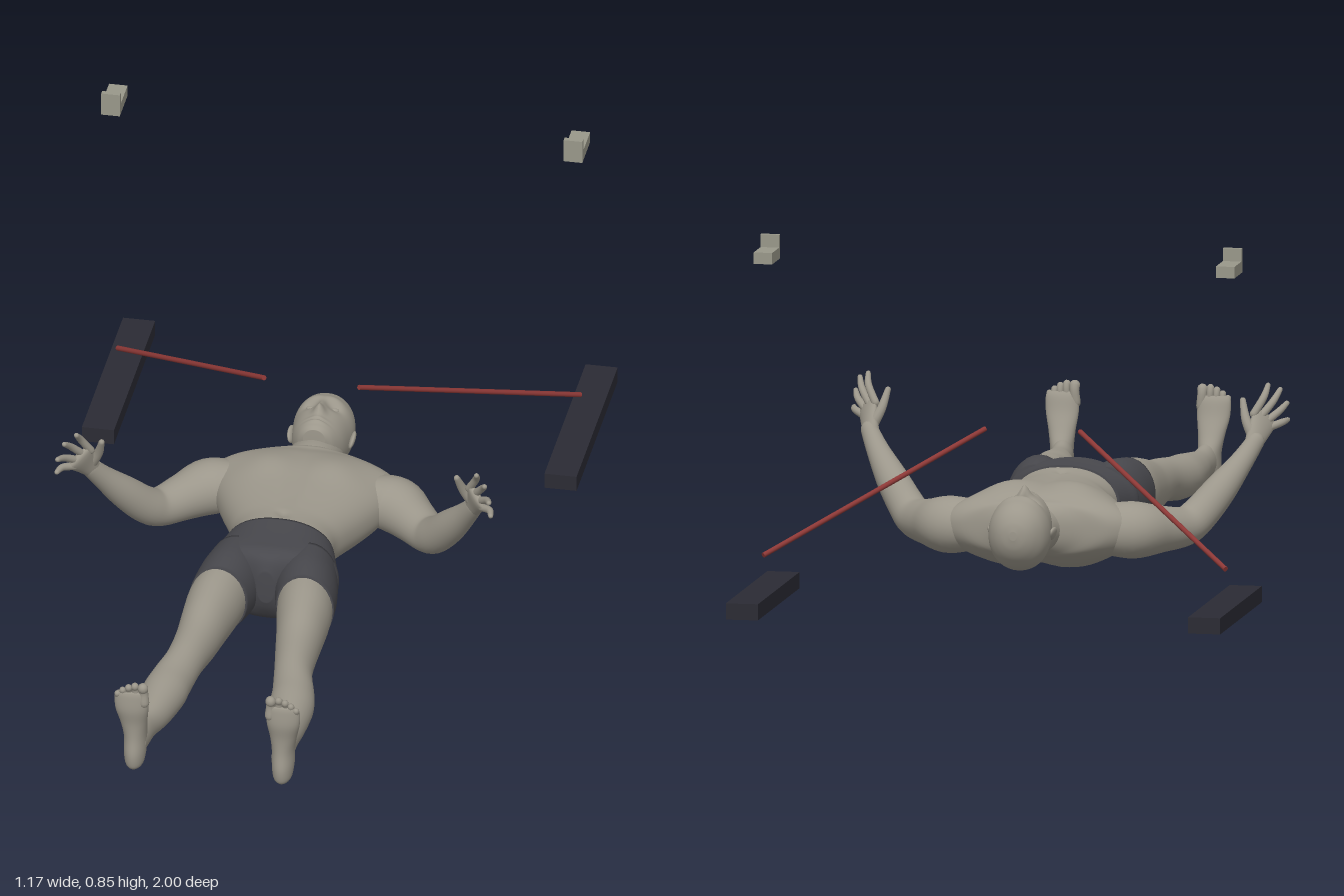
import * as THREE from 'three';

const mat = (name, color, side = THREE.FrontSide) => {
  const m = new THREE.MeshStandardMaterial({ color, side });
  m.name = name;
  return m;
};
const V = (a) => new THREE.Vector3(a[0], a[1], a[2]);
const X = V([1, 0, 0]), Z = V([0, 0, 1]), DOWN = V([0, -1, 0]);
const gauss = (d, s) => Math.exp(-(d * d) / (2 * s * s));

// Smooth in-between rows through a list of number rows
function sample(rows, steps) {
  const out = [];
  for (let i = 0; i < rows.length - 1; i++) {
    const p0 = rows[Math.max(0, i - 1)], p1 = rows[i], p2 = rows[i + 1], p3 = rows[Math.min(rows.length - 1, i + 2)];
    for (let k = 0; k < steps; k++) {
      const t = k / steps;
      out.push(p1.map((b, j) => {
        const a = p0[j], c = p2[j], d = p3[j];
        return 0.5 * (2 * b + (c - a) * t + (2 * a - 5 * b + 4 * c - d) * t * t + (3 * b - a - 3 * c + d) * t * t * t);
      }));
    }
  }
  out.push(rows[rows.length - 1]);
  return out;
}

// Skin over oval rings; rows are [x, y, z, halfWidth, halfDepth].
// With a fixed dir all rings are parallel, otherwise they follow the path and get round ends.
function loft(rows, { side = X, dir = null, seg = 28, steps = 5, power = 1, bump = null } = {}) {
  const s = sample(rows, steps), rings = [];
  const tangent = (i) => dir || V(s[Math.min(i + 1, s.length - 1)]).sub(V(s[Math.max(i - 1, 0)])).normalize();
  const ring = (i, scale = 1, shift = 0) => {
    const t = tangent(i), r = s[i];
    const n = t.clone().cross(side).normalize(), w = n.clone().cross(t);
    const c = V(r).addScaledVector(t, shift);
    rings.push(Array.from({ length: seg }, (_, k) => {
      const a = k / seg * Math.PI * 2, f = (v) => Math.sign(v) * Math.abs(v) ** power;
      const p = c.clone().addScaledVector(w, f(Math.cos(a)) * r[3] * scale).addScaledVector(n, f(Math.sin(a)) * r[4] * scale);
      if (bump) p.y += bump(p.x, p.z, Math.sin(a));
      return p;
    }));
  };
  const cap = [80, 55, 28].map((d) => d * Math.PI / 180), last = s.length - 1;
  if (!dir) cap.forEach((a) => ring(0, Math.cos(a), -Math.sin(a) * s[0][4]));
  s.forEach((_, i) => ring(i));
  if (!dir) cap.reverse().forEach((a) => ring(last, Math.cos(a), Math.sin(a) * s[last][4]));

  const pos = rings.flat(), idx = [], end = (rings.length - 1) * seg;
  const centre = (r) => r.reduce((a, p) => a.add(p), new THREE.Vector3()).divideScalar(seg);
  pos.push(centre(rings[0]), centre(rings[rings.length - 1]));
  for (let k = 0; k < seg; k++) {
    const k2 = (k + 1) % seg;
    for (let i = 0; i < end; i += seg) idx.push(i + k, i + k2, i + seg + k, i + k2, i + seg + k2, i + seg + k);
    idx.push(pos.length - 2, k2, k, pos.length - 1, end + k, end + k2);
  }
  const g = new THREE.BufferGeometry().setFromPoints(pos);
  g.setIndex(idx);
  g.computeVertexNormals();
  return g;
}
// Rows [z, centreX, halfWidth, top, bottom] for parts running along the body
const along = (rows, opts = {}) =>
  loft(rows.map(([z, x, w, hi, lo]) => [x, (hi + lo) / 2, z, w, (hi - lo) / 2]), { dir: Z, ...opts });

export function createModel() {
  const skin = mat('skin', 0x9c978b), cloth = mat('shorts cloth', 0x48484d);
  const dark = mat('dark beam', 0x2b2b34), metal = mat('bracket grey', 0x99988a), red = mat('red rod', 0x8c3836);
  const root = new THREE.Group();
  root.name = 'lyingFigure';
  const add = (parent, name, geo, m) => {
    const mesh = new THREE.Mesh(geo, m);
    mesh.name = name;
    parent.add(mesh);
    return mesh;
  };

  // Torso with chest muscles, midline and spine furrow
  const torsoBump = (x, z, s) => {
    const ax = Math.abs(x);
    if (s > 0) return s * (0.014 * gauss(ax - 0.085, 0.045) * gauss(z + 0.165, 0.042)
      - 0.006 * gauss(x, 0.012) * gauss(z + 0.08, 0.09) - 0.008 * gauss(x, 0.008) * gauss(z - 0.06, 0.008));
    return -s * (0.012 * gauss(x, 0.018) * gauss(z + 0.08, 0.13) - 0.006 * gauss(ax - 0.1, 0.04) * gauss(z + 0.16, 0.05));
  };
  add(root, 'torso', along([
    [-0.3, 0, 0.06, 0.175, 0.075], [-0.28, 0, 0.11, 0.185, 0.06], [-0.262, 0, 0.18, 0.188, 0.05], [-0.22, 0, 0.225, 0.2, 0.03],
    [-0.15, 0, 0.205, 0.207, 0.014], [-0.08, 0, 0.175, 0.208, 0.015], [0, 0, 0.138, 0.205, 0.026],
    [0.05, 0, 0.121, 0.205, 0.033], [0.11, 0, 0.127, 0.21, 0.03]], { seg: 72, power: 0.9, bump: torsoBump }), skin);
  add(root, 'neck', along([[-0.23, 0, 0.1, 0.18, 0.06], [-0.27, 0, 0.078, 0.182, 0.062], [-0.31, 0, 0.064, 0.18, 0.064],
    [-0.37, 0, 0.06, 0.17, 0.065]].reverse()), skin);

  // Head with nose, brow, eye sockets, lips and chin
  const faceBump = (x, z, s) => {
    if (s <= 0) return 0;
    const ax = Math.abs(x);
    return s * (0.02 * gauss(x, 0.009) * gauss(z + 0.378, 0.011) + 0.011 * gauss(x, 0.007) * gauss(z + 0.405, 0.018)
      - 0.012 * gauss(ax - 0.028, 0.013) * gauss(z + 0.42, 0.01) + 0.005 * gauss(ax - 0.026, 0.02) * gauss(z + 0.445, 0.008)
      + 0.006 * gauss(x, 0.016) * gauss(z + 0.353, 0.004) + 0.006 * gauss(x, 0.016) * gauss(z + 0.342, 0.004)
      - 0.004 * gauss(x, 0.02) * gauss(z + 0.3475, 0.002));
  };
  add(root, 'head', along([
    [-0.521, 0, 0.008, 0.15, 0.13], [-0.515, 0, 0.03, 0.172, 0.105], [-0.5, 0, 0.05, 0.195, 0.08], [-0.475, 0, 0.066, 0.212, 0.058],
    [-0.44, 0, 0.072, 0.22, 0.048], [-0.4, 0, 0.068, 0.218, 0.052], [-0.36, 0, 0.06, 0.216, 0.075],
    [-0.33, 0, 0.044, 0.214, 0.11], [-0.316, 0, 0.026, 0.206, 0.15]], { seg: 72, steps: 8, power: 0.95, bump: faceBump }), skin);

  // Pelvis of the shorts
  add(root, 'shortsPelvis', along([
    [0.098, 0, 0.129, 0.213, 0.028], [0.15, 0, 0.145, 0.212, 0.02], [0.2, 0, 0.157, 0.212, 0.014],
    [0.235, 0, 0.12, 0.212, 0.025], [0.262, 0, 0.05, 0.2, 0.06], [0.275, 0, 0.02, 0.17, 0.09]], { seg: 48, power: 0.9 }), cloth);

  for (const m of [1, -1]) {
    const half = new THREE.Group();
    half.name = m > 0 ? 'leftSide' : 'rightSide';
    half.scale.x = m;
    root.add(half);

    const ear = add(half, 'ear', new THREE.SphereGeometry(1, 16, 12), skin);
    ear.scale.set(0.007, 0.016, 0.027);
    ear.position.set(0.072, 0.132, -0.41);
    ear.rotation.set(0.2, 0, -0.35);
    const eye = add(half, 'eye', new THREE.SphereGeometry(1, 14, 10), skin);
    eye.scale.set(0.011, 0.006, 0.006);
    eye.position.set(0.028, 0.2, -0.42);

    // Leg, split at the hem of the shorts
    add(half, 'shortsLeg', along([[0.17, 0.085, 0.065, 0.2, 0.03], [0.25, 0.092, 0.074, 0.207, 0.018],
      [0.325, 0.103, 0.068, 0.201, 0.028]]), cloth);
    add(half, 'leg', along([[0.3, 0.1, 0.066, 0.2, 0.03], [0.36, 0.107, 0.064, 0.195, 0.032], [0.43, 0.113, 0.057, 0.183, 0.036],
      [0.51, 0.119, 0.05, 0.166, 0.044], [0.6, 0.129, 0.045, 0.158, 0.055], [0.68, 0.145, 0.05, 0.15, 0.046],
      [0.74, 0.152, 0.052, 0.147, 0.045], [0.82, 0.159, 0.041, 0.139, 0.051], [0.88, 0.166, 0.029, 0.135, 0.06],
      [0.93, 0.17, 0.026, 0.142, 0.06], [0.965, 0.173, 0.024, 0.14, 0.06]]), skin);

    // Foot from toes to heel, sole facing forward
    const foot = [[0.248, 0.18, 0.034, 0.975, 0.994], [0.235, 0.18, 0.039, 0.968, 0.997], [0.2, 0.179, 0.039, 0.957, 0.999],
      [0.16, 0.177, 0.032, 0.937, 0.993], [0.12, 0.175, 0.027, 0.914, 0.993], [0.08, 0.175, 0.026, 0.915, 0.999],
      [0.052, 0.175, 0.022, 0.93, 0.996], [0.04, 0.175, 0.014, 0.945, 0.988], [0.036, 0.175, 0.004, 0.96, 0.975]];
    add(half, 'foot', loft(foot.map(([y, x, w, a, b]) => [x, y, (a + b) / 2, w, (b - a) / 2]), { dir: DOWN }), skin);
    [[0.151, 0.262, 0.0125], [0.17, 0.265, 0.009], [0.185, 0.26, 0.0085], [0.199, 0.252, 0.008], [0.211, 0.242, 0.0075]]
      .forEach(([x, y, r]) => add(half, 'toe', loft([[x - 0.002, 0.222, 0.984, r, r], [x, y - 0.012, 0.982, r * 0.9, r * 0.9],
        [x, y, 0.987, r, r]], { seg: 12, steps: 3 }), skin));

    // Arm: shoulder, bent elbow, wrist
    add(half, 'arm', loft([[0.17, 0.112, -0.19, 0.06, 0.064], [0.222, 0.11, -0.178, 0.066, 0.068], [0.272, 0.106, -0.128, 0.055, 0.055],
      [0.318, 0.106, -0.075, 0.046, 0.046], [0.347, 0.13, -0.04, 0.043, 0.043], [0.388, 0.183, 0.0, 0.038, 0.038],
      [0.43, 0.243, 0.042, 0.027, 0.027], [0.457, 0.288, 0.073, 0.022, 0.02]], { side: V([0.4, -0.6, 0.5]) }), skin);

    // Hand with spread fingers
    const across = V([0.6, -0.65, 0.45]).normalize(), back = V([0.7, 0.3, -0.6]);
    add(half, 'palm', loft([[0.45, 0.275, 0.065, 0.021, 0.018], [0.459, 0.303, 0.087, 0.028, 0.015], [0.467, 0.328, 0.111, 0.034, 0.012],
      [0.47, 0.337, 0.119, 0.033, 0.01]], { side: across }), skin);
    const knuckleA = V([0.451, 0.355, 0.104]), knuckleB = V([0.486, 0.315, 0.129]);
    [[0.473, 0.409, 0.141], [0.497, 0.396, 0.165], [0.51, 0.362, 0.18], [0.513, 0.324, 0.174]].forEach((tip, i) => {
      const a = knuckleA.clone().lerp(knuckleB, i / 3), b = V(tip);
      const mid = a.clone().lerp(b, 0.5).addScaledVector(back, 0.008);
      a.addScaledVector(b.clone().sub(a), -0.15);
      add(half, 'finger', loft([[...a, 0.0095, 0.0095], [...mid, 0.0085, 0.0085], [...b, 0.006, 0.006]], { side: across, seg: 12 }), skin);
    });
    add(half, 'thumb', loft([[0.45, 0.3, 0.076, 0.014, 0.014], [0.431, 0.336, 0.088, 0.011, 0.011], [0.42, 0.377, 0.108, 0.007, 0.007]],
      { side: across, seg: 12 }), skin);

    // Floor beam, floating bracket and slanted rod
    const box = (name, w, h, d, y, z, material) =>
      add(half, name, new THREE.BoxGeometry(w, h, d), material).position.set(0.547, y, z);
    box('beam', 0.076, 0.038, 0.5, 0.019, -0.75, dark);
    box('bracketBase', 0.044, 0.027, 0.095, 0.811, -0.7, metal);
    box('bracketUpright', 0.044, 0.057, 0.012, 0.826, -0.658, metal);
    const p = V([0.112, 0.354, -0.285]), q = V([0.547, 0.113, -0.742]);
    const rod = add(half, 'rod', new THREE.CylinderGeometry(0.006, 0.006, p.distanceTo(q), 16), red);
    rod.position.copy(p).lerp(q, 0.5);
    rod.quaternion.setFromUnitVectors(V([0, 1, 0]), q.clone().sub(p).normalize());
  }
  return root;
}
